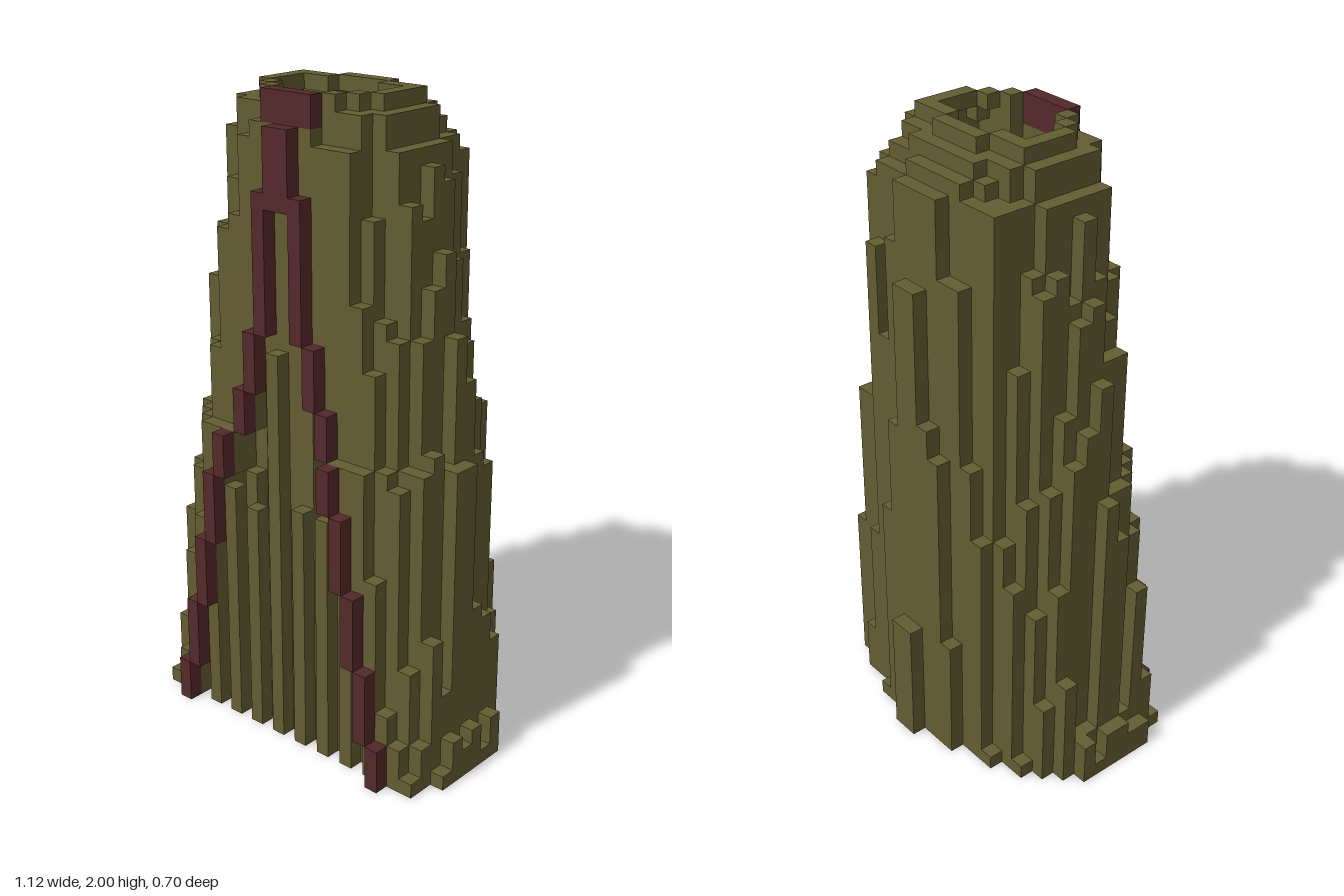
import * as THREE from 'three';
import { mergeGeometries } from 'three/addons/utils/BufferGeometryUtils.js';

const LAYERS = 43, ROWS = 15, HALF = 12;
const U = 2 / LAYERS; // edge of one cube

// Half-widths of each row, back to front, at a few heights
const KEYS = [
  [0, [1, 4, 7, 9, 10, 11, 12, 12, 12, 12, 12, 12, 11, 11]],
  [3, [1, 4, 7, 8.5, 9.5, 10.5, 11, 11, 11, 11, 11, 11, 10.5, 9]],
  [20, [0, 2, 5, 7, 8.5, 9.5, 10, 10.5, 11, 10.7, 10, 9, 8, 7]],
  [21, [0, 2, 5, 7, 8, 8.7, 9.2, 10, 10, 9.7, 9, 8, 7, 0]],
  [33, [0, 1, 4, 5.7, 6.5, 7, 7.5, 8, 9, 8.5, 7.5, 6.5, 5, 0]],
  [39, [0, 0, 2, 5, 6, 6.5, 7, 7, 7, 7, 6.5, 5.5, 4, 0]],
  [41, [0, 0, 0, 1, 3, 5, 6, 6, 6, 6, 6, 5, 0, 0]],
  [42, [0, 0, 0, 0, 0, 2, 5, 5, 5, 5, 4, 3, 0, 0]],
];
// Height at which each row ends
const ROW_TOP = [9, 34, 40, 41, 42, 43, 43, 43, 43, 43, 43, 43, 41, 21];
// Side steps and trim steps: [upper height, cells from the middle]
const SIDE = [[3, 12], [21, 11], [29, 10], [34, 9], [39, 8], [40, 7], [42, 6], [43, 5]];
const TRIM = [[3, 8], [8, 7], [13, 6], [18, 5], [21, 4], [24, 3], [28, 2], [37, 1], [43, 0]];

const step = (table, y) => table.find(([top]) => y < top)[1];

function noise(a, b) {
  const s = Math.sin(a * 127.1 + b * 311.7 + 5.3) * 43758.5453;
  return s - Math.floor(s);
}

function rowWidth(row, y) {
  let k = 0;
  while (k < KEYS.length - 2 && y >= KEYS[k + 1][0]) k++;
  const [y0, a] = KEYS[k], [y1, b] = KEYS[k + 1];
  return THREE.MathUtils.lerp(a[row], b[row], Math.min(1, (y - y0) / (y1 - y0)));
}

// Trim cubes, one cube in front of the cloth
function isTrim(x, row, y) {
  const i = x < 0 ? -x - 1 : x;
  if (row !== (y < 21 ? 14 : y < 41 ? 13 : 12)) return false;
  if (y >= 41) return i < 2;
  return i === step(TRIM, y) || (y === 36 && i === 0);
}

// The filled cloak, with folds of uneven height
function isFilled(x, row, y) {
  if (row < 0 || row > 13) return false;
  // tall middle fold
  if (x === -1 && row === 13) return y < 27;
  if (y >= ROW_TOP[row]) return false;
  const i = x < 0 ? -x - 1 : x;
  if (i >= Math.min(step(SIDE, y), KEYS[0][1][row])) return false;
  // recessed pleats between the two trims
  if (i < step(TRIM, y)) {
    if (row === 13 && (x % 2 === 0 || y > 4 + 14 * noise(x, 40))) return false;
    if (row === 12 && i > 1 && noise(x, 41) < 0.45 && y > 6 + 12 * noise(x, 42)) return false;
  }
  // one row on each side keeps the full width
  if (row === 8 || (i <= step(TRIM, y) && row > 8 && y < 41)) return true;
  const fold = y > 40 || y === 0 ? 0 : row < 6 ? 2 : 1.3;
  return (i === 0 && row < 5) || i + 0.5 < rowWidth(row, y) + (noise(x, row) - 0.5) * fold;
}

// Only the outer cubes stay, so the cloak is hollow and open at both ends
function isCloth(x, row, y) {
  if (!isFilled(x, row, y)) return false;
  const wall = (dx, dr) => isFilled(x + dx, row + dr, y) || (y >= 41 && isTrim(x + dx, row + dr, y));
  if (!wall(1, 0) || !wall(-1, 0) || !wall(0, 1) || !wall(0, -1)) return true;
  return y < LAYERS - 1 && !isFilled(x, row, y + 1) && !isTrim(x, row, y + 1);
}

// Stacked cubes become one tall box per run
function buildColumns(test) {
  const boxes = [];
  for (let x = -HALF; x < HALF; x++) {
    for (let row = 0; row < ROWS; row++) {
      let start = -1;
      for (let y = 0; y <= LAYERS; y++) {
        const on = y < LAYERS && test(x, row, y);
        if (on && start < 0) start = y;
        if (!on && start >= 0) {
          const box = new THREE.BoxGeometry(U, (y - start) * U, U);
          box.translate((x + 0.5) * U, ((start + y) / 2) * U, (row + 0.5 - ROWS / 2) * U);
          boxes.push(box);
          start = -1;
        }
      }
    }
  }
  return mergeGeometries(boxes);
}

export function createModel() {
  const olive = new THREE.MeshStandardMaterial({ color: 0x635d32 });
  olive.name = 'olive cloth';
  const maroon = new THREE.MeshStandardMaterial({ color: 0x55292b });
  maroon.name = 'maroon trim';

  const group = new THREE.Group();
  group.name = 'cloak';
  const cloth = new THREE.Mesh(buildColumns(isCloth), olive);
  cloth.name = 'cloakCloth';
  const trim = new THREE.Mesh(buildColumns(isTrim), maroon);
  trim.name = 'frontTrim';
  group.add(cloth, trim);
  return group;
}
